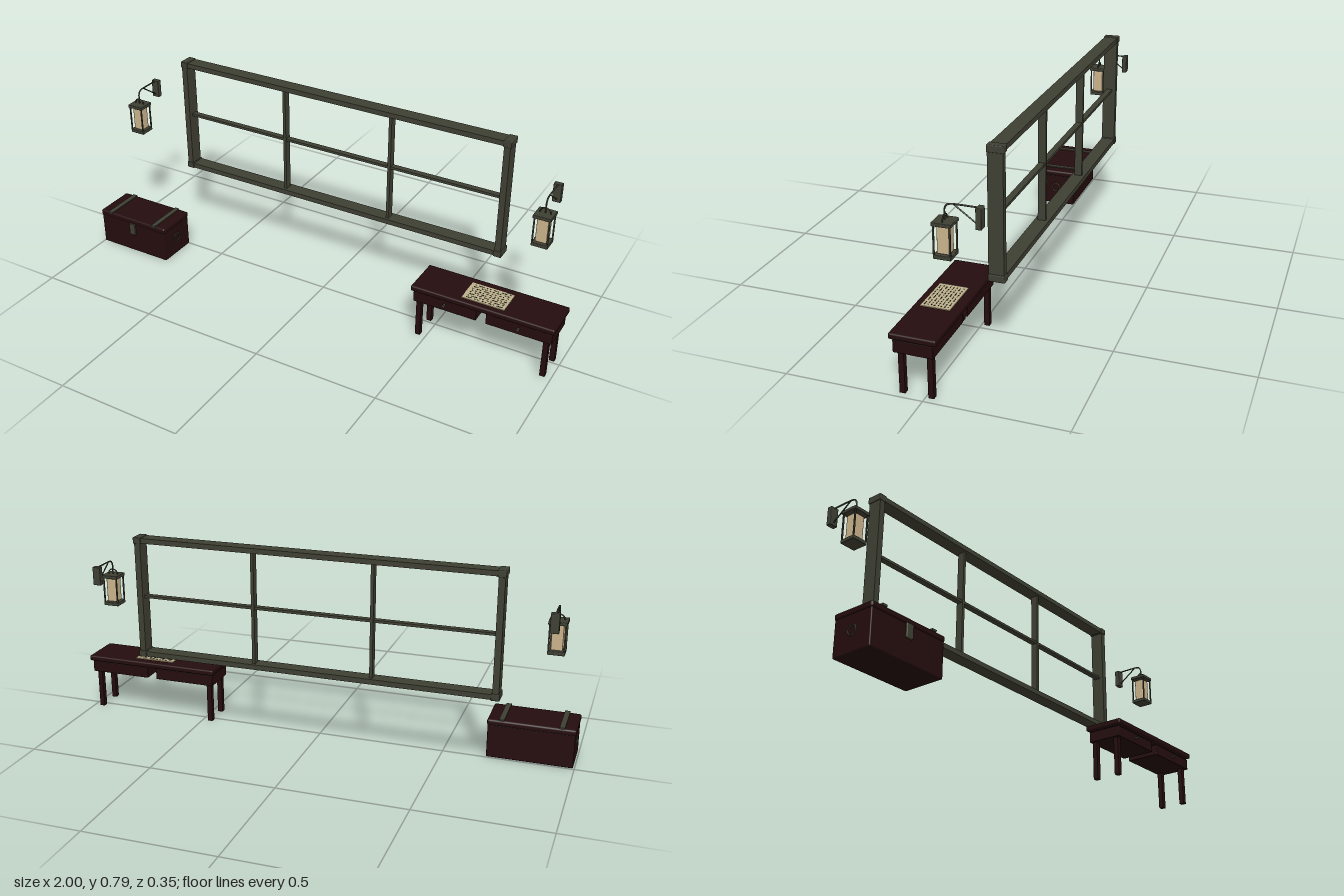
import * as THREE from 'three';
import { mergeGeometries } from 'three/addons/utils/BufferGeometryUtils.js';
import { RoundedBoxGeometry } from 'three/addons/geometries/RoundedBoxGeometry.js';

const material = (name, color) => {
  const m = new THREE.MeshStandardMaterial({ color });
  m.name = name;
  return m;
};

export function createModel() {
  const iron = material('dark olive iron', 0x3f4033);
  const wood = material('dark red wood', 0x250c0d);
  const glow = material('warm lantern light', 0xcbb48c);
  const paper = material('paper', 0xbcb08c);
  const ink = material('ink', 0x25231c);

  const model = new THREE.Group();
  const group = (name, parent = model) => {
    const g = new THREE.Group();
    g.name = name;
    parent.add(g);
    return g;
  };
  const add = (parent, name, geometry, mat, x = 0, y = 0, z = 0) => {
    const mesh = new THREE.Mesh(geometry, mat);
    mesh.name = name;
    mesh.position.set(x, y, z);
    parent.add(mesh);
    return mesh;
  };
  // Box given by its min and max corners, optionally with rounded edges
  const box = (parent, name, mat, [x0, y0, z0], [x1, y1, z1], radius = 0) => {
    const s = [x1 - x0, y1 - y0, z1 - z0];
    const g = radius ? new RoundedBoxGeometry(...s, 2, radius) : new THREE.BoxGeometry(...s);
    return add(parent, name, g, mat, (x0 + x1) / 2, (y0 + y1) / 2, (z0 + z1) / 2);
  };

  // Window frame
  const frame = group('windowFrame');
  for (const y of [0.318, 0.777])
    box(frame, 'frameRail', iron, [-0.72, y - 0.01, -0.17], [0.685, y + 0.01, -0.115]);
  for (const x of [-0.719, 0.682]) {
    box(frame, 'framePost', iron, [x - 0.012, 0.31, -0.169], [x + 0.012, 0.785, -0.114]);
    for (const y of [0.318, 0.777])
      box(frame, 'cornerBlock', iron, [x - 0.016, y - 0.013, -0.173], [x + 0.016, y + 0.013, -0.112], 0.003);
  }
  for (const x of [-0.252, 0.215])
    box(frame, 'mullion', iron, [x - 0.006, 0.325, -0.157], [x + 0.006, 0.77, -0.127]);
  box(frame, 'crossBar', iron, [-0.71, 0.545, -0.154], [0.675, 0.555, -0.13]);

  // Chest
  const chest = group('chest');
  box(chest, 'chestBody', wood, [-0.995, 0.002, 0.001], [-0.668, 0.137, 0.165], 0.004);
  box(chest, 'chestLid', wood, [-0.998, 0.133, -0.002], [-0.665, 0.157, 0.168], 0.008);
  for (const x of [-0.945, -0.72])
    box(chest, 'lidStrap', iron, [x - 0.01, 0.154, 0.001], [x + 0.01, 0.161, 0.17]);
  box(chest, 'latch', iron, [-0.847, 0.084, 0.165], [-0.817, 0.137, 0.173], 0.003);
  for (const x of [-0.996, -0.667]) {
    const handle = add(chest, 'ringHandle', new THREE.TorusGeometry(0.018, 0.0025, 8, 24), iron, x, 0.078, 0.083);
    handle.rotation.y = Math.PI / 2;
  }

  // Desk
  const desk = group('desk');
  box(desk, 'deskTop', wood, [0.44, 0.207, -0.051], [0.998, 0.229, 0.115], 0.006);
  for (const [x0, x1] of [[0.448, 0.7], [0.738, 0.99]]) {
    box(desk, 'drawer', wood, [x0, 0.157, -0.038], [x1, 0.202, 0.103], 0.002);
    const knob = add(desk, 'drawerKnob', new THREE.CylinderGeometry(0.006, 0.005, 0.012, 12), iron,
      (x0 + x1) / 2, 0.182, 0.108);
    knob.rotation.x = Math.PI / 2;
  }
  for (const x of [0.467, 0.966])
    for (const z of [0.082, -0.02])
      box(desk, 'deskLeg', wood, [x - 0.01, 0, z - 0.01], [x + 0.01, 0.208, z + 0.01]);

  // Paper sheet with rows of abstract marks
  box(desk, 'paperSheet', paper, [0.633, 0.229, -0.017], [0.8, 0.232, 0.09]);
  const marks = [];
  for (let row = 0; row < 8; row++)
    for (let i = 0; i < 10; i++) {
      const w = 0.005 + 0.005 * ((i * 7 + row * 5) % 3) / 2;
      const x = 0.65 + i * 0.0148 + 0.003 * ((row * 3 + i) % 2);
      const z = -0.006 + row * 0.0122;
      marks.push(new THREE.BoxGeometry(w, 0.001, 0.003).translate(x, 0.2325, z));
    }
  add(desk, 'paperMarks', mergeGeometries(marks), ink);

  // Wall lanterns
  const rod = (points, radius, segments) => new THREE.TubeGeometry(
    new THREE.CatmullRomCurve3(points.map(([y, z]) => new THREE.Vector3(0, y, z))), segments, radius, 8);
  for (const [x, name] of [[-0.908, 'rightLantern'], [0.869, 'leftLantern']]) {
    const lantern = group(name);
    lantern.position.x = x;
    box(lantern, 'wallPlate', iron, [-0.016, 0.58, -0.168], [0.016, 0.653, -0.148], 0.002);
    add(lantern, 'bracketArm', rod([[0.594, -0.039], [0.615, -0.039], [0.632, -0.04], [0.644, -0.047],
      [0.649, -0.06], [0.65, -0.09], [0.65, -0.15]], 0.003, 32), iron);
    add(lantern, 'bracketBrace', rod([[0.648, -0.072], [0.592, -0.15]], 0.0025, 2), iron);
    add(lantern, 'hangingLoop', new THREE.TorusGeometry(0.02, 0.0025, 8, 20, Math.PI), iron, 0, 0.592, -0.039);
    box(lantern, 'lanternRoof', iron, [-0.034, 0.579, -0.073], [0.034, 0.592, -0.005], 0.002);
    box(lantern, 'lanternBase', iron, [-0.031, 0.466, -0.07], [0.031, 0.48, -0.008], 0.002);
    for (const sx of [-1, 1])
      for (const sz of [-1, 1])
        add(lantern, 'cornerBar', new THREE.BoxGeometry(0.005, 0.102, 0.005), iron,
          sx * 0.028, 0.53, -0.039 + sz * 0.028);
    box(lantern, 'lightCore', glow, [-0.021, 0.481, -0.06], [0.021, 0.575, -0.018], 0.004);
  }

  return model;
}
